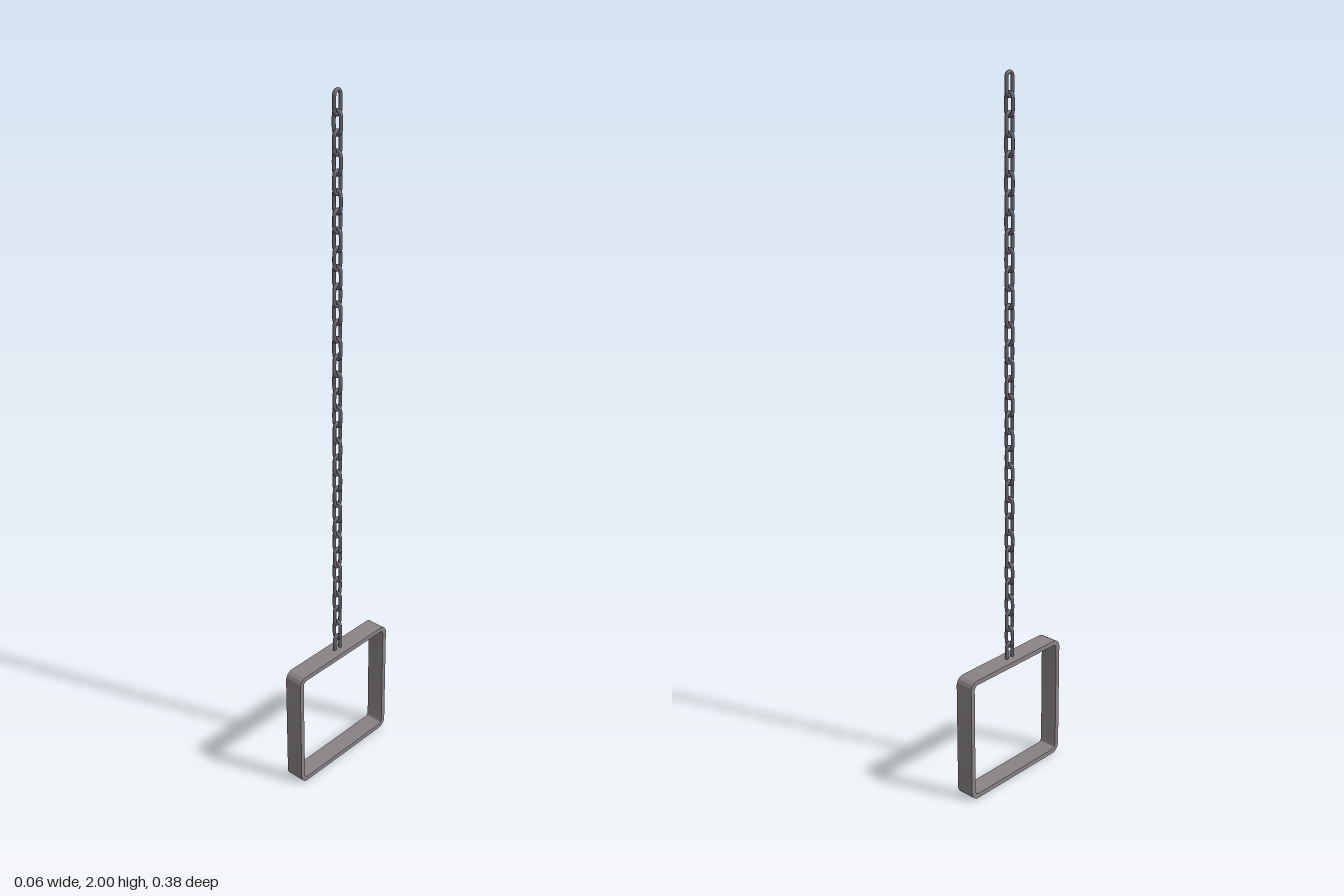
import * as THREE from 'three';
import { toCreasedNormals } from 'three/addons/utils/BufferGeometryUtils.js';

const frameMat = new THREE.MeshStandardMaterial({ color: 0x8a8487 });
const chainMat = new THREE.MeshStandardMaterial({ color: 0x66646c });

// Rounded square outline centred on the origin
function roundedSquare(target, half, r) {
  const c = half - r;
  target.absarc(c, c, r, 0, Math.PI / 2);
  target.absarc(-c, c, r, Math.PI / 2, Math.PI);
  target.absarc(-c, -c, r, Math.PI, Math.PI * 1.5);
  target.absarc(c, -c, r, Math.PI * 1.5, Math.PI * 2);
  target.closePath();
  return target;
}

// Closed oval wire link, upright in the xy plane
function linkGeometry(halfWidth, halfHeight, wire) {
  const points = [];
  const straight = halfHeight - halfWidth;
  for (const [start, y] of [[0, straight], [Math.PI, -straight]]) {
    for (let i = 0; i <= 6; i++) {
      const a = start + (i / 6) * Math.PI;
      points.push(new THREE.Vector3(Math.cos(a) * halfWidth, y + Math.sin(a) * halfWidth, 0));
    }
  }
  const path = new THREE.CatmullRomCurve3(points, true, 'centripetal');
  return new THREE.TubeGeometry(path, 40, wire, 10, true);
}

export function createModel() {
  const model = new THREE.Group();
  model.name = 'hangingFrame';

  // Square band with rounded corners, open along x
  const half = 0.1875, depth = 0.056, thickness = 0.014;
  const outline = roundedSquare(new THREE.Shape(), half, 0.026);
  outline.holes.push(roundedSquare(new THREE.Path(), half - thickness, 0.013));
  const band = new THREE.ExtrudeGeometry(outline, { depth, bevelEnabled: false, curveSegments: 8 });
  band.translate(0, 0, -depth / 2);
  band.rotateY(Math.PI / 2);
  const frame = new THREE.Mesh(toCreasedNormals(band, 0.6), frameMat);
  frame.name = 'squareFrame';
  frame.position.y = half;
  model.add(frame);

  // Chain: links alternate by a quarter turn, the lowest one loops around the band
  const chain = new THREE.Group();
  chain.name = 'chain';
  const wire = 0.005, count = 33, top = 1.9655, bottom = 0.392;
  const geometry = linkGeometry(0.011, 0.0295, wire);
  for (let i = 0; i < count; i++) {
    const link = new THREE.Mesh(geometry, chainMat);
    link.name = 'chainLink';
    link.position.y = THREE.MathUtils.lerp(bottom, top, i / (count - 1));
    link.rotation.y = i % 2 === 0 ? Math.PI / 2 : 0;
    chain.add(link);
  }
  model.add(chain);

  return model;
}
